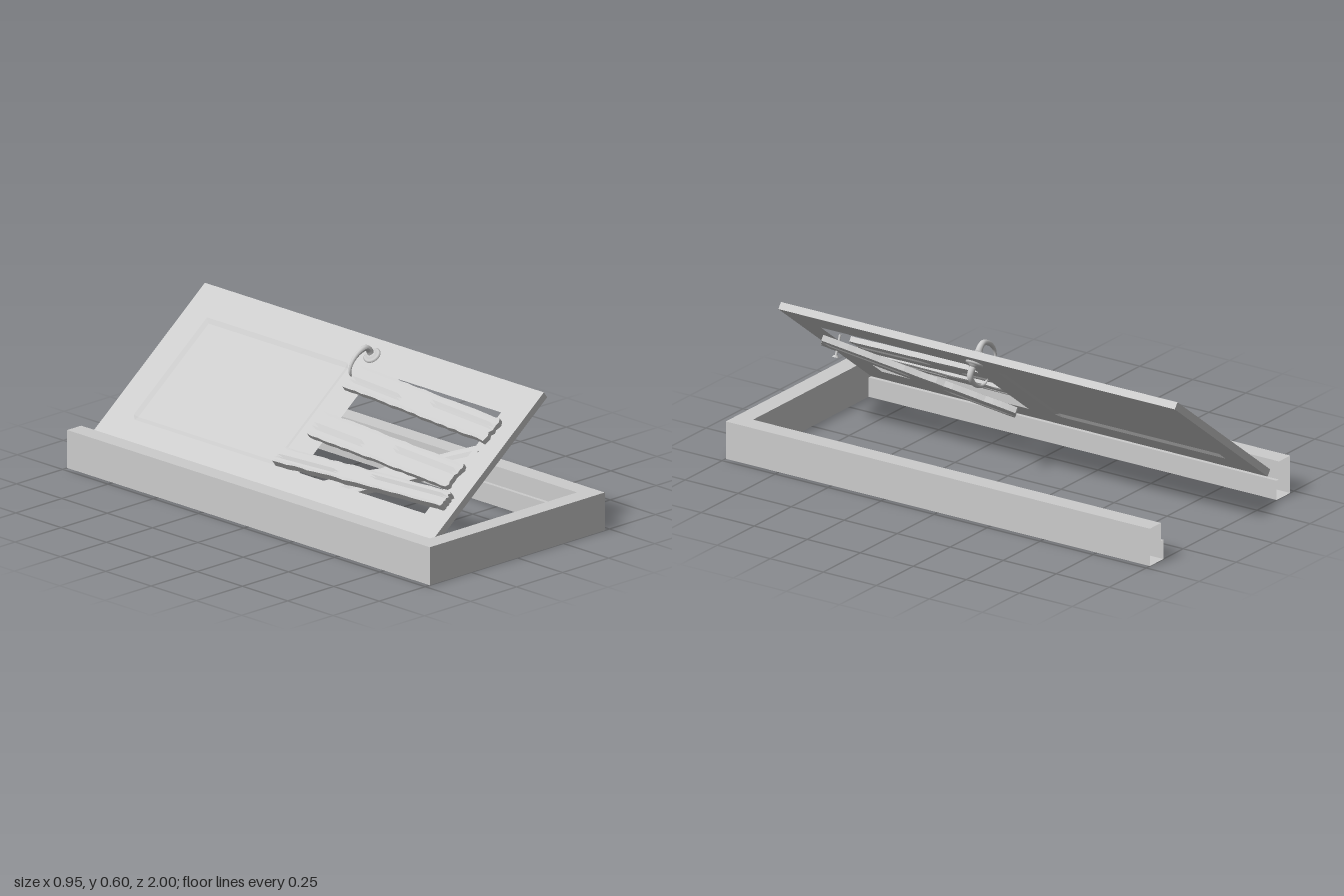
import * as THREE from 'three';

const mat = new THREE.MeshStandardMaterial({ color: 0xcccccc });
const openMat = new THREE.MeshStandardMaterial({ color: 0xcccccc, side: THREE.DoubleSide });

function add(parent, name, geo, x = 0, y = 0, z = 0, material = mat) {
  const m = new THREE.Mesh(geo, material);
  m.name = name;
  m.position.set(x, y, z);
  parent.add(m);
  return m;
}

// repeatable noise in -1..1
function noise(a, b, seed) {
  const s = Math.sin(a * 127.1 + b * 311.7 + seed * 74.7) * 43758.5453;
  return (s - Math.floor(s)) * 2 - 1;
}

function flat(geo) {
  const g = geo.toNonIndexed();
  g.computeVertexNormals();
  return g;
}

// hollow U-shaped frame: a [inset, height] profile swept along three mitred sides
function frameGeometry() {
  const profile = [[0, 0], [0, 0.155], [0.076, 0.155], [0.076, 0.08], [0.092, 0.08], [0.092, 0]];
  const n = profile.length, pos = [], idx = [];
  for (let s = 0; s < 4; s++) {
    for (const [d, y] of profile) {
      const x = (s < 2 ? -1 : 1) * (0.475 - d);
      const z = s % 3 === 0 ? -1 : 1 - Math.min(d, 0.076);
      pos.push(x, y, z);
    }
  }
  for (let s = 0; s < 3; s++) {
    for (let i = 0; i < n; i++) {
      const a = s * n + i, b = s * n + (i + 1) % n;
      idx.push(a, a + n, b, b, a + n, b + n);
    }
  }
  const g = new THREE.BufferGeometry();
  g.setAttribute('position', new THREE.Float32BufferAttribute(pos, 3));
  g.setIndex(idx);
  return flat(g);
}

function rectPath(path, x0, x1, z0, z1) {
  path.moveTo(x0, -z0);
  path.lineTo(x1, -z0);
  path.lineTo(x1, -z1);
  path.lineTo(x0, -z1);
  path.closePath();
  return path;
}

// sunken panel with sloping borders on both faces
function panelGeometry(w, l, thick, border, depth) {
  const g = new THREE.BoxGeometry(w, thick, l, 3, 1, 3);
  const p = g.attributes.position;
  for (let i = 0; i < p.count; i++) {
    const x = p.getX(i), z = p.getZ(i);
    if (Math.abs(x) < w * 0.4) p.setX(i, Math.sign(x) * (w / 2 - border));
    if (Math.abs(z) < l * 0.4) p.setZ(i, Math.sign(z) * (l / 2 - border));
    if (Math.abs(x) < w * 0.4 && Math.abs(z) < l * 0.4) p.setY(i, Math.sign(p.getY(i)) * (thick / 2 - depth));
  }
  return flat(g);
}

// worn board with ragged ends, wavering sides and split grain
function plankGeometry(w, t, l, seed) {
  const cols = 8, rows = 24;
  const g = new THREE.BoxGeometry(w, t, l, cols, 1, rows);
  const p = g.attributes.position;
  for (let i = 0; i < p.count; i++) {
    const x = p.getX(i), y = p.getY(i), z = p.getZ(i);
    const c = Math.round((x / w + 0.5) * cols), r = Math.round((z / l + 0.5) * rows);
    const side = Math.sign(y);
    if (r === 0 || r === rows) p.setZ(i, z + noise(c, r, seed) * 0.006);
    if (c === 0 || c === cols) p.setX(i, x + noise(r, c, seed) * 0.0025);
    const crack = (c === 3 && r < 9) || (c === 5 && r > 13);
    const rim = c === 0 || c === cols || r === 0 || r === rows;
    p.setY(i, y - side * (crack ? 0.006 : rim ? 0.003 : 0));
  }
  return flat(g);
}

// curved lever that thins toward its tip
function leverGeometry() {
  const path = new THREE.CatmullRomCurve3([[0.317, 0.024], [0.32, 0.05], [0.312, 0.071], [0.27, 0.085],
    [0.224, 0.079], [0.198, 0.06], [0.19, 0.036]].map(([x, y]) => new THREE.Vector3(x, y, 0)));
  const n = 40, sides = 14, c = new THREE.Vector3(), v = new THREE.Vector3();
  const g = new THREE.TubeGeometry(path, n, 0.014, sides);
  const p = g.attributes.position;
  for (let i = 0; i < p.count; i++) {
    const t = Math.floor(i / (sides + 1)) / n;
    path.getPointAt(t, c);
    v.fromBufferAttribute(p, i).sub(c).multiplyScalar(t > 0.97 ? 0.1 : 1.05 - 0.75 * t).add(c);
    p.setXYZ(i, v.x, v.y, v.z);
  }
  g.computeVertexNormals();
  return g;
}

export function createModel() {
  const model = new THREE.Group();
  model.name = 'brokenDoor';

  add(model, 'doorFrame', frameGeometry(), 0, 0, 0, openMat);

  // door leaf swung open; its local x runs up the slope and y is its normal
  const door = new THREE.Group();
  door.name = 'door';
  door.position.set(-0.067, 0.345, 0);
  door.rotation.z = 0.652;
  model.add(door);

  const x0 = -0.265, x1 = 0.255;
  const outline = rectPath(new THREE.Shape(), -0.395, 0.395, -0.965, 0.905);
  outline.holes.push(rectPath(new THREE.Path(), x0, x1, 0.09, 0.782));
  outline.holes.push(rectPath(new THREE.Path(), x0, x1, -0.84, -0.045));
  const slab = new THREE.ExtrudeGeometry(outline, { depth: 0.03, bevelEnabled: false });
  slab.rotateX(-Math.PI / 2).translate(0, -0.015, 0);
  add(door, 'doorLeaf', slab);
  add(door, 'recessedPanel', panelGeometry(x1 - x0, 0.795, 0.03, 0.02, 0.008), (x0 + x1) / 2, 0, -0.4425);

  // boards nailed over the window: [width, thickness, length, x, y, z, turn]
  [
    [0.072, 0.038, 0.9, -0.212, 0.034, 0.412, 0.045],
    [0.118, 0.028, 0.8, -0.064, 0.029, 0.415, -0.042],
    [0.112, 0.028, 0.8, 0.176, 0.029, 0.425, -0.047],
    [0.1, 0.03, 0.8, -0.108, -0.03, 0.51, 0.56],
  ].forEach(([w, t, l, x, y, z, turn], i) => {
    add(door, i < 3 ? 'outerBoard' : 'innerBoard', plankGeometry(w, t, l, i + 1), x, y, z).rotation.y = turn;
  });

  // bent nail sticking out of the underside
  const nail = new THREE.Group();
  nail.name = 'nail';
  nail.position.set(-0.012, 0.358, 0.81);
  nail.rotation.z = 0.35;
  model.add(nail);
  add(nail, 'nailShank', new THREE.CylinderGeometry(0.005, 0.005, 0.085, 10));
  add(nail, 'nailHead', new THREE.CylinderGeometry(0.009, 0.014, 0.008, 12), 0, -0.044, 0);

  // matching handles on both faces
  const rosette = [[0, 0.012], [0.035, 0.012], [0.036, 0.019], [0.031, 0.024], [0.019, 0.026], [0.017, 0.034], [0, 0.034]];
  for (const side of [1, -1]) {
    const handle = new THREE.Group();
    handle.name = side > 0 ? 'outerHandle' : 'innerHandle';
    handle.position.z = 0.022;
    door.add(handle);
    const plate = new THREE.LatheGeometry(rosette.map(([r, y]) => new THREE.Vector2(r, y)), 28);
    add(handle, 'rosette', plate, 0.317, 0, 0, openMat);
    add(handle, 'lever', leverGeometry(), 0, 0, 0, openMat);
    handle.scale.y = side;
  }

  return model;
}
